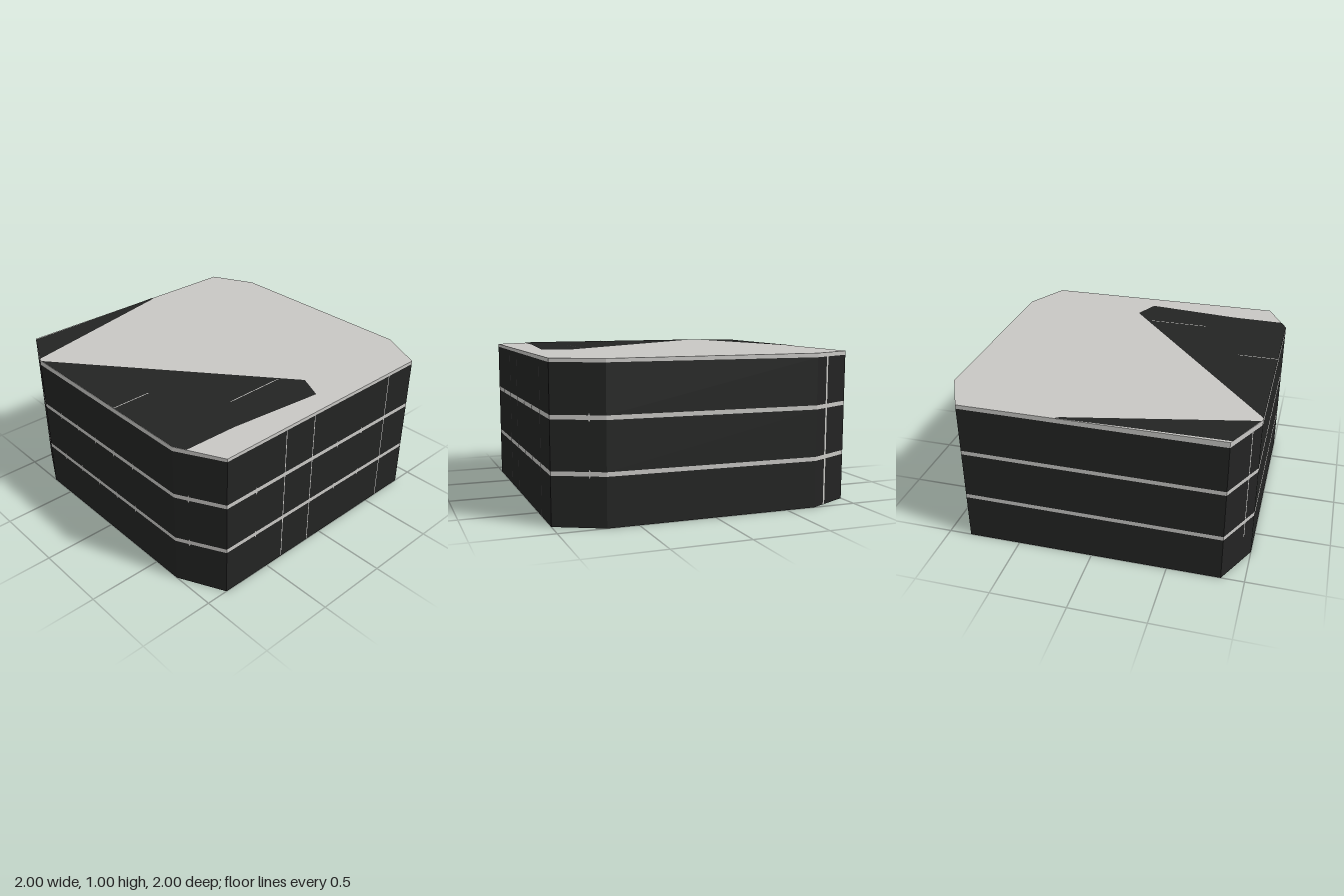
import * as THREE from 'three';

export function createModel() {
  const model = new THREE.Group();
  const pale = new THREE.MeshStandardMaterial({ color: 0xc8c7c4 });
  const dark = new THREE.MeshStandardMaterial({ color: 0x232423 });
  pale.name = 'pale grey';
  dark.name = 'near black';

  const add = (name, geometry, material) => {
    const mesh = new THREE.Mesh(geometry, material);
    mesh.name = name;
    model.add(mesh);
    return mesh;
  };

  // Block outline [x, z] and how far the stripes drift up or down at each corner
  const outline = [[-0.7, 1], [0.7, 1], [1, 0.85], [1, -0.85], [0.7, -1], [-0.7, -1], [-1, -0.85], [-1, 0.85]];
  const drift = [-0.007, -0.002, 0.006, 0.003, 0.004, 0, 0, -0.01];
  const levels = [0, 0.306, 0.333, 0.64, 0.667, 0.973, 1];
  const height = (corner, row) =>
    levels[row] + (row === 0 || row === levels.length - 1 ? 0 : drift[corner]);

  // One horizontal ring of flat wall faces between two levels
  const ring = (row) => {
    const positions = [];
    outline.forEach((a, i) => {
      const j = (i + 1) % outline.length;
      const b = outline[j];
      const a0 = [a[0], height(i, row), a[1]], a1 = [a[0], height(i, row + 1), a[1]];
      const b0 = [b[0], height(j, row), b[1]], b1 = [b[0], height(j, row + 1), b[1]];
      positions.push(...a0, ...b0, ...b1, ...a0, ...b1, ...a1);
    });
    const geometry = new THREE.BufferGeometry();
    geometry.setAttribute('position', new THREE.Float32BufferAttribute(positions, 3));
    geometry.computeVertexNormals();
    return geometry;
  };
  for (let row = 0; row < levels.length - 1; row++) {
    const stripe = row % 2 === 1;
    add(stripe ? 'paleStripe' : 'darkWall', ring(row), stripe ? pale : dark);
  }

  // Flat polygon facing up, given as [x, z]
  const slab = (points, y) => {
    const shape = new THREE.Shape(points.map(([x, z]) => new THREE.Vector2(x, -z)));
    return new THREE.ShapeGeometry(shape).rotateX(-Math.PI / 2).translate(0, y, 0);
  };
  add('top', slab(outline, 1), pale);
  add('bottom', slab(outline, 0).rotateX(Math.PI), pale);

  // Dark patches painted on the top
  add('largeTopPatch', slab([[-0.68, 1], [0.69, -0.12], [0.86, -0.04], [0.79, 0.6], [0.78, 0.96], [0.7, 1]], 1.002), dark);
  add('smallTopPatch', slab([[-1, -0.21], [-0.98, -0.18], [-0.715, 0.99], [-0.985, 0.86], [-0.99, 0.2]], 1.002), dark);

  // Hairline seams on the large patch
  for (const [x, z0, z1] of [[0.142, 0.73, 1], [0.567, 0, 0.42]]) {
    add('topSeam', slab([[x - 0.003, z0], [x + 0.003, z0], [x + 0.003, z1], [x - 0.003, z1]], 1.004), pale);
  }

  // Places a thin plate on a wall, t running from one corner to the next
  const onWall = (name, geometry, wall, t, y) => {
    const a = outline[wall], b = outline[(wall + 1) % outline.length];
    const dx = b[0] - a[0], dz = b[1] - a[1], length = Math.hypot(dx, dz);
    const mesh = add(name, geometry, pale);
    mesh.position.set(a[0] + dx * t - (dz / length) * 0.002, y, a[1] + dz * t + (dx / length) * 0.002);
    mesh.rotation.y = Math.atan2(-dz, dx);
  };

  // Vertical seams: wall, position, bottom, top, width
  const seams = [
    [2, 0.282, 0, 1, 0.006], [2, 0.427, 0, 1, 0.006], [2, 0.853, 0, 1, 0.006],
    [7, 0.68, 0.19, 1, 0.007], [5, 0.33, 0, 1, 0.018],
  ];
  for (const [wall, t, y0, y1, width] of seams) {
    onWall('wallSeam', new THREE.PlaneGeometry(width, y1 - y0), wall, t, (y0 + y1) / 2);
  }

  // Small diamond joints where the stripes meet the panel grid
  const joint = new THREE.CircleGeometry(1, 4).scale(0.011, 0.028, 1);
  const joints = {
    0: [0.143, 0.286, 0.429, 0.571, 0.714],
    1: [0.28],
    2: [0.14, 0.282, 0.427, 0.57, 0.712, 0.853],
    3: [0.7],
    5: [0.33],
    7: [0.68],
  };
  for (const [wall, places] of Object.entries(joints)) {
    const i = Number(wall), j = (i + 1) % outline.length;
    for (const t of places) {
      const shift = drift[i] * (1 - t) + drift[j] * t;
      for (const y of [0.32, 0.653]) onWall('stripeJoint', joint, i, t, y + shift);
    }
  }
  return model;
}
